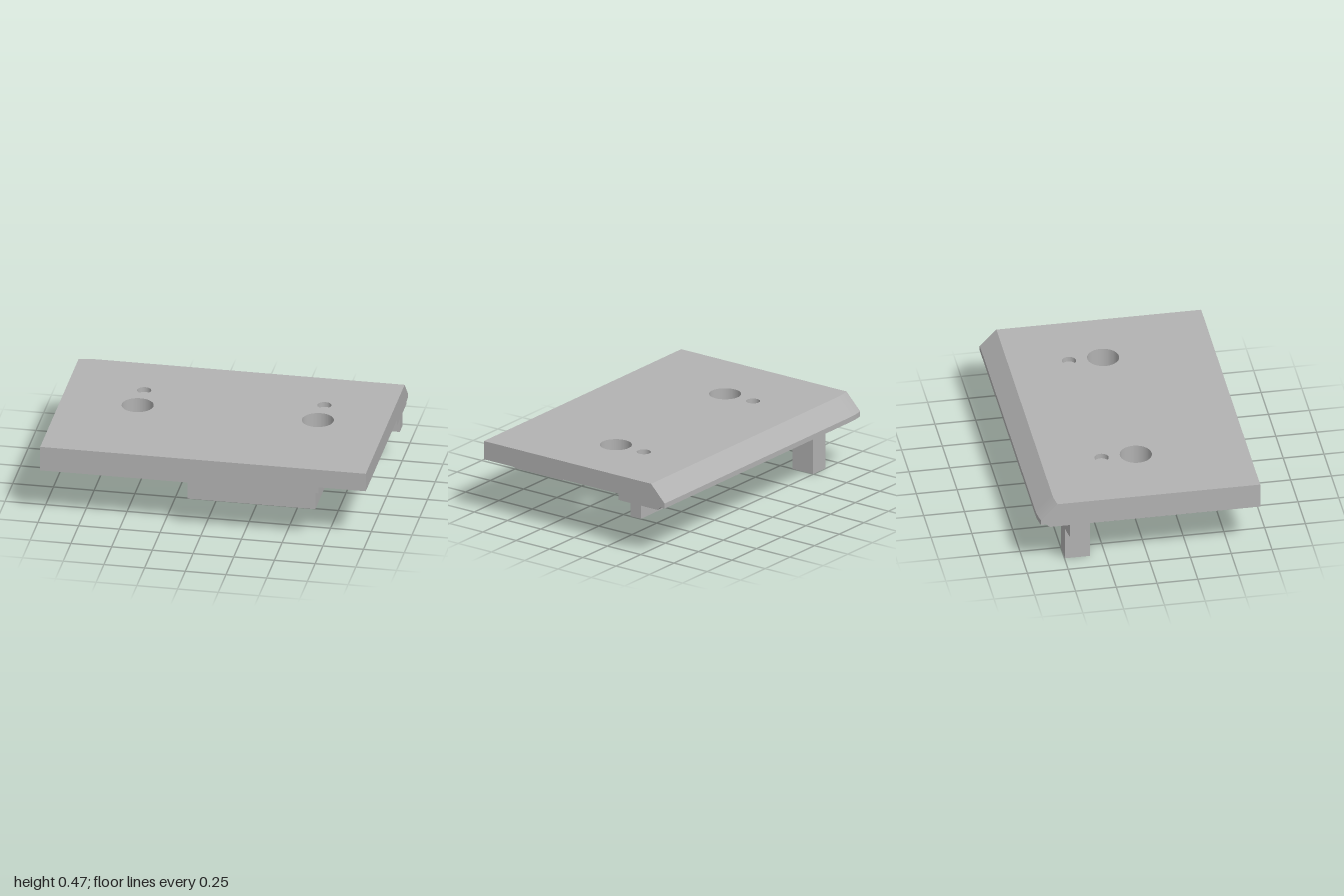
import * as THREE from 'three';

const HOLES_X = [-0.53, 0.577];
const BACK = -0.55; // where the flat slab meets the shaped back edge
const FRONT = 0.678;
const BEND = 0.12, SAG = 0.014, BEND_STEPS = 8;

export function createModel() {
  const group = new THREE.Group();
  const grey = new THREE.MeshStandardMaterial({ color: 0xb2b2b2 });
  grey.name = 'plain grey';

  const add = (name, geometry) => {
    const mesh = new THREE.Mesh(geometry, grey);
    mesh.name = name;
    group.add(mesh);
  };

  const block = (name, x0, x1, y0, y1, z0, z1) => {
    const g = new THREE.BoxGeometry(x1 - x0, y1 - y0, z1 - z0);
    g.translate((x0 + x1) / 2, (y0 + y1) / 2, (z0 + z1) / 2);
    add(name, g);
  };

  const fullOutline = () => new THREE.Shape([
    [-1, -FRONT], [1, -FRONT], [1, -BACK], [-1, -BACK],
  ].map(([x, y]) => new THREE.Vector2(x, y)));

  // Underside outline with the filleted recess cut from the right side
  const recessedOutline = () => {
    const s = new THREE.Shape();
    s.moveTo(-1, -FRONT);
    s.lineTo(0.71, -FRONT);
    s.lineTo(0.71, 0.28);
    s.absarc(0.762, 0.28, 0.052, Math.PI, Math.PI / 2, true);
    s.lineTo(1, 0.332);
    s.lineTo(1, -BACK);
    s.lineTo(-1, -BACK);
    return s;
  };

  // One horizontal slice of the plate, with main holes and optional small holes
  const layer = (name, shape, y0, y1, smallRadius) => {
    for (const x of HOLES_X) {
      const rings = [[0, 0.097]];
      if (smallRadius) rings.push([0.21, smallRadius]);
      for (const [y, r] of rings) {
        shape.holes.push(new THREE.Path().absarc(x, y, r, 0, Math.PI * 2, true));
      }
    }
    const g = new THREE.ExtrudeGeometry(shape, { depth: y1 - y0, bevelEnabled: false, curveSegments: 40 });
    g.rotateX(-Math.PI / 2);
    g.translate(0, y0, 0);
    add(name, g);
  };

  layer('plateUnderside', recessedOutline(), 0.315, 0.355, 0.053);
  layer('plateLowerCore', fullOutline(), 0.355, 0.42, 0.053);
  layer('plateWeb', fullOutline(), 0.42, 0.44, 0);
  layer('plateTop', fullOutline(), 0.44, 0.472, 0.043);

  // Bar along x with a [z, y] profile whose left end curves gently forward
  const bentBar = (name, profile, x0, x1, bendsAt) => {
    const shape = new THREE.Shape(profile.map(([z, y]) => new THREE.Vector2(-z, y)));
    const steps = BEND_STEPS + 1;
    const g = new THREE.ExtrudeGeometry(shape, { depth: steps, steps, bevelEnabled: false });
    g.rotateY(Math.PI / 2);
    const p = g.attributes.position;
    for (let i = 0; i < p.count; i++) {
      const row = Math.round(p.getX(i));
      const t = Math.min(row / BEND_STEPS, 1);
      p.setX(i, row === steps ? x1 : x0 + BEND * t);
      if (p.getZ(i) < bendsAt) p.setZ(i, p.getZ(i) + SAG * (1 - t) ** 2);
    }
    g.computeVertexNormals();
    add(name, g);
  };

  bentBar('chamferedBackEdge', [
    [BACK, 0.315], [BACK, 0.472], [-0.578, 0.472], [-0.68, 0.367],
    [-0.68, 0.335], [-0.648, 0.335], [-0.627, 0.315],
  ], -1, 1, -0.56);

  // Parts hanging below the plate
  bentBar('leftRail', [
    [-0.422, 0.23], [-0.422, 0.32], [-0.502, 0.32], [-0.502, 0.23],
  ], -1, -0.53, 0);
  block('rightRail', 0.69, 1, 0.23, 0.32, -0.502, -0.422);
  block('leg', -0.875, -0.75, 0, 0.32, -0.498, -0.342);
  block('frontBlock', -0.095, 0.69, 0.207, 0.32, 0.315, FRONT);

  return group;
}
